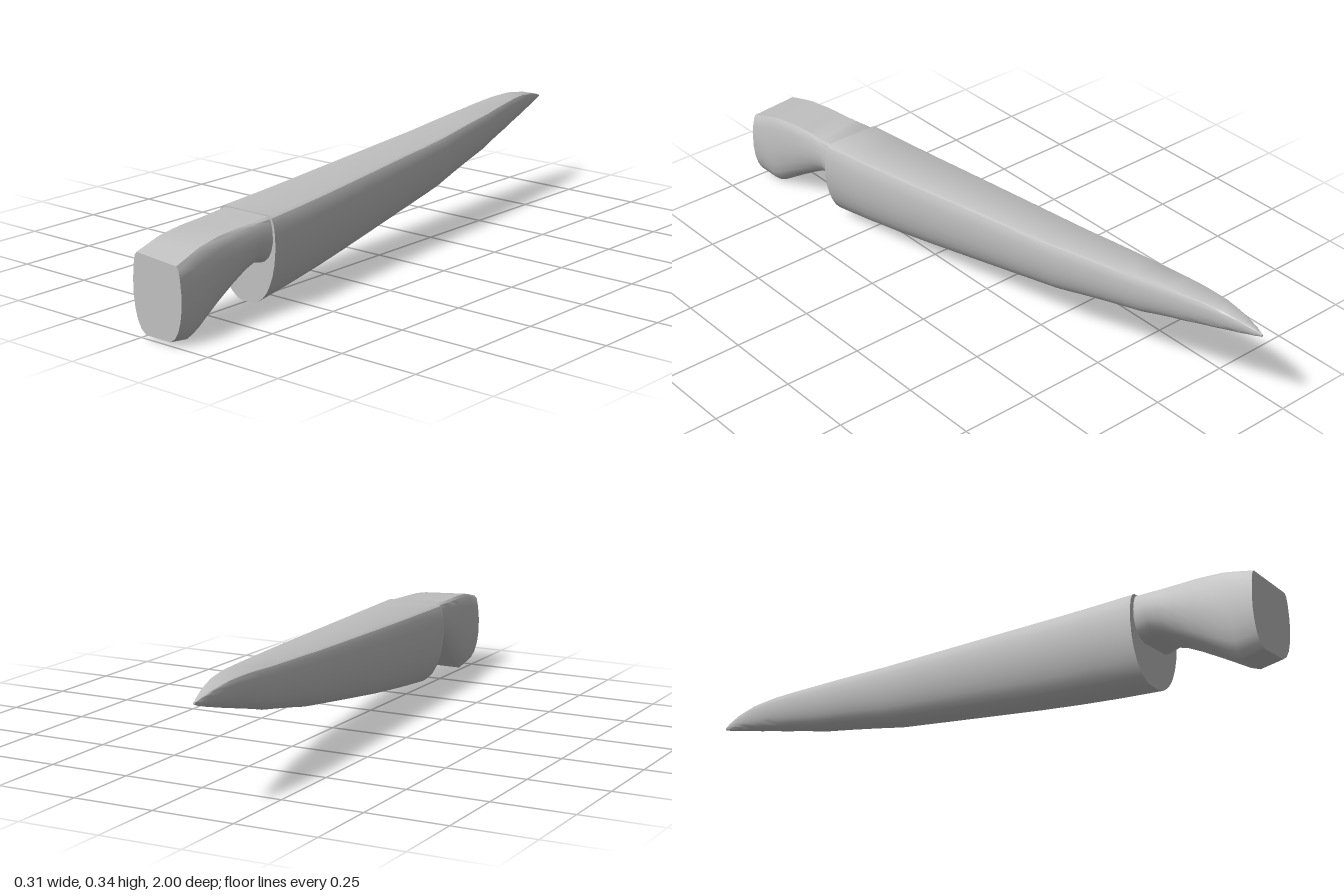
import * as THREE from 'three';
import { toCreasedNormals } from 'three/addons/utils/BufferGeometryUtils.js';

// Joins scaled copies of one profile into a closed solid.
// profile: [u, v] in 0..1, anticlockwise seen from +z
// stations: [z, left, right, bottom, top, drop of the right edge], z falling
function loft(profile, stations) {
  const rings = stations.map(([z, x0, x1, y0, y1, drop = 0]) => profile.map(([u, v]) =>
    new THREE.Vector3(x0 + (x1 - x0) * u, y0 + (y1 - y0) * v - drop * u * v, z)));
  const n = profile.length;
  const tris = [];
  for (let s = 0; s < rings.length - 1; s++) {
    for (let i = 0; i < n; i++) {
      const j = (i + 1) % n;
      const a = rings[s][i], b = rings[s][j], c = rings[s + 1][j], d = rings[s + 1][i];
      tris.push(a, d, b, b, d, c);
    }
  }
  const cap = (ring, front) => {
    const mid = ring.reduce((m, p) => m.add(p), new THREE.Vector3()).divideScalar(n);
    ring.forEach((p, i) => {
      const q = ring[(i + 1) % n];
      if (front) tris.push(mid, p, q);
      else tris.push(mid, q, p);
    });
  };
  cap(rings[0], true);
  cap(rings[rings.length - 1], false);
  return toCreasedNormals(new THREE.BufferGeometry().setFromPoints(tris), 0.6);
}

// Adds smooth intermediate stations along the length
function refine(stations, steps) {
  const out = [];
  for (let s = 0; s < stations.length - 1; s++) {
    const p = stations[Math.max(s - 1, 0)], a = stations[s];
    const b = stations[s + 1], q = stations[Math.min(s + 2, stations.length - 1)];
    for (let k = 0; k < steps; k++) {
      const t = k / steps;
      out.push(a.map((_, i) => i === 0
        ? THREE.MathUtils.lerp(a[0], b[0], t)
        : THREE.MathUtils.lerp(a[i], b[i], t)
          + t * (1 - t) * 0.12 * ((a[i] - p[i]) - (q[i] - b[i]))));
    }
  }
  out.push(stations[stations.length - 1]);
  return out;
}

// Completes a profile from its right half, listed from bottom to top
const mirrored = half => [...half, ...half.map(([u, v]) => [1 - u, v]).reverse()];

export function createModel() {
  const model = new THREE.Group();
  const grey = new THREE.MeshStandardMaterial({ color: 0xc0c0c0 });
  grey.name = 'plain grey';

  const add = (name, geometry) => {
    const mesh = new THREE.Mesh(geometry, grey);
    mesh.name = name;
    model.add(mesh);
  };

  // Long tapering blade: flat top, rounded keel, blunt front face
  const bladeProfile = mirrored([
    [0.58, 0], [0.67, 0.02], [0.76, 0.075], [0.83, 0.14], [0.89, 0.23], [0.94, 0.34],
    [0.98, 0.48], [1, 0.65], [0.995, 0.8], [0.975, 0.91], [0.94, 0.975], [0.89, 1],
  ]);
  add('blade', loft(bladeProfile, refine([
    [0.62, -0.075, 0.145, 0.015, 0.282],
    [0.2, -0.103, 0.092, 0.065, 0.297],
    [-0.3, -0.135, 0.022, 0.14, 0.318],
    [-0.6, -0.154, -0.034, 0.2, 0.334],
    [-0.75, -0.158, -0.066, 0.238, 0.342],
    [-0.85, -0.157, -0.09, 0.263, 0.341],
    [-0.93, -0.151, -0.112, 0.283, 0.33],
    [-0.98, -0.143, -0.127, 0.297, 0.317],
    [-1, -0.138, -0.133, 0.304, 0.31],
  ], 3)));

  // Handle: narrow neck under the blade top, deepening to a flat end
  const handleProfile = mirrored([
    [0.75, 0], [0.85, 0.06], [0.92, 0.16], [0.97, 0.3], [1, 0.48],
    [1, 0.66], [0.98, 0.84], [0.95, 0.96], [0.91, 1],
  ]);
  add('handle', loft(handleProfile, [
    [1, -0.025, 0.157, 0.012, 0.242, 0.014],
    [0.93, -0.03, 0.148, 0.001, 0.26, 0.012],
    [0.9, -0.033, 0.145, 0.014, 0.266, 0.01],
    [0.82, -0.041, 0.138, 0.065, 0.272, 0.004],
    [0.75, -0.048, 0.136, 0.108, 0.273, 0],
    [0.7, -0.052, 0.136, 0.136, 0.275, 0],
    [0.66, -0.056, 0.136, 0.15, 0.277, 0],
    [0.6, -0.06, 0.135, 0.135, 0.28, 0],
  ]));

  return model;
}
